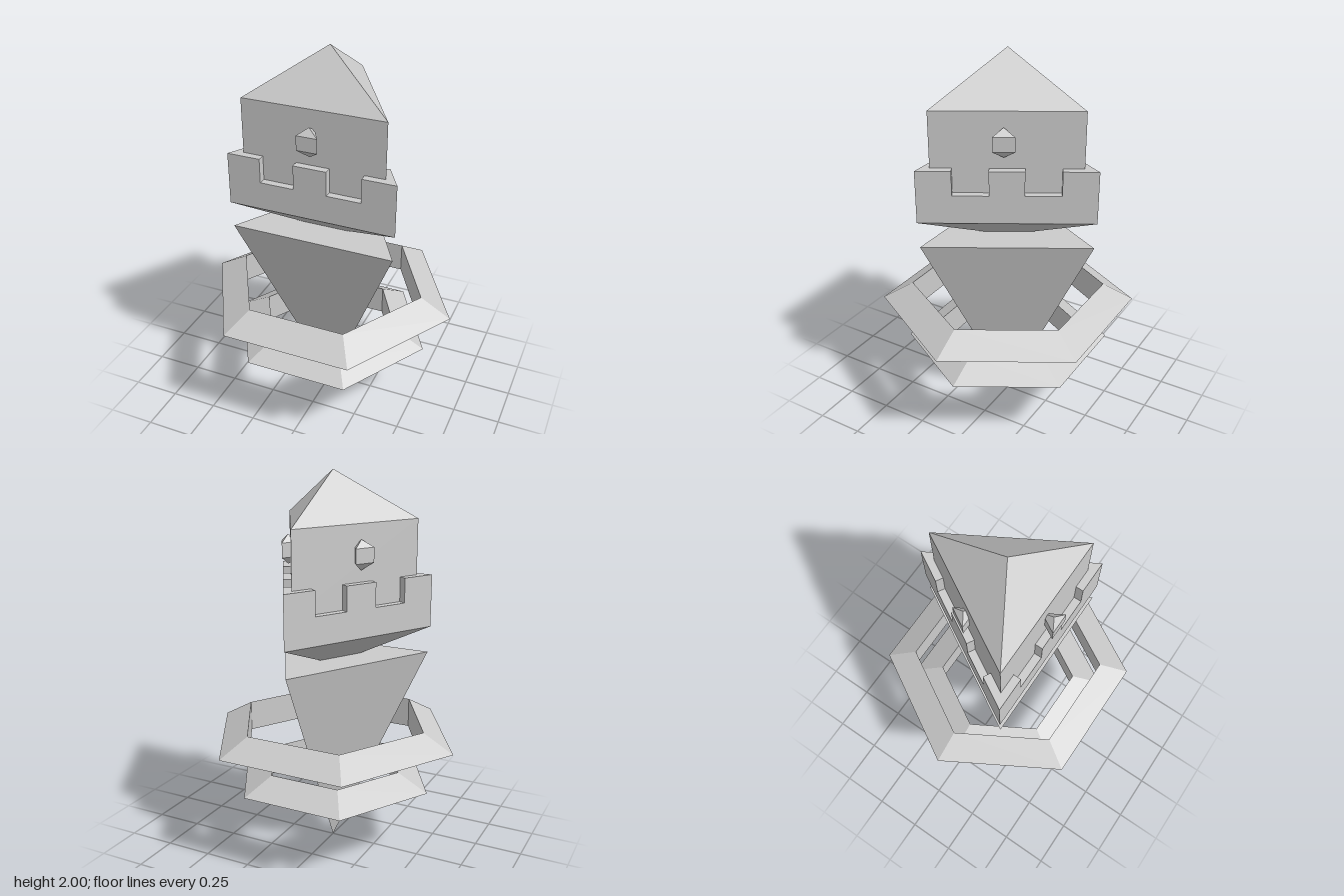
import * as THREE from 'three';

const material = new THREE.MeshStandardMaterial({ color: 0xcccccc, flatShading: true });

function add(parent, name, geometry, x = 0, y = 0, z = 0) {
  const mesh = new THREE.Mesh(geometry, material);
  mesh.name = name;
  mesh.position.set(x, y, z);
  parent.add(mesh);
  return mesh;
}

// Three-sided prism, frustum or cone between two heights, one corner pointing back
function triangular(rBottom, rTop, y0, y1) {
  const g = rBottom === 0
    ? new THREE.ConeGeometry(rTop, y1 - y0, 3).rotateX(Math.PI)
    : new THREE.CylinderGeometry(rTop, rBottom, y1 - y0, 3).rotateY(Math.PI);
  return g.translate(0, (y0 + y1) / 2, 0);
}

// Plan outline [x, z] extruded upwards
function planExtrude(points, y0, y1) {
  const shape = new THREE.Shape(points.map(([x, z]) => new THREE.Vector2(x, z)));
  return new THREE.ExtrudeGeometry(shape, { depth: y1 - y0, bevelEnabled: false })
    .rotateX(Math.PI / 2).translate(0, y1, 0);
}

// Hexagonal ring with a triangular section
function hexRing(inner, outer, yBottom, yEdge, yTop) {
  const section = [[inner, yBottom], [outer, yEdge], [inner, yTop], [inner, yBottom]];
  return new THREE.LatheGeometry(section.map(([r, y]) => new THREE.Vector2(r, y)), 6, Math.PI / 2);
}

export function createModel() {
  const model = new THREE.Group();
  model.name = 'floatingTower';

  // Lower spike and its two rings
  add(model, 'spike', triangular(0, 0.5, 0, 1.055));
  add(model, 'lowerRing', hexRing(0.383, 0.547, 0.29, 0.365, 0.452));
  add(model, 'upperRing', hexRing(0.517, 0.68, 0.536, 0.608, 0.7));

  // Tower body
  add(model, 'towerBase', triangular(0.145, 0.51, 1.055, 1.193));
  add(model, 'parapet', triangular(0.51, 0.51, 1.193, 1.34));
  add(model, 'keep', triangular(0.43, 0.43, 1.34, 1.755));
  add(model, 'roof', triangular(0.43, 0.0, 1.755, 2));

  // Merlons: one in the middle of each side and one wrapped round each corner
  const out = 0.255, inn = 0.215, c = 0.5, s = Math.sqrt(3) / 2;
  const mirror = ([x, z]) => [x * c + z * s, x * s - z * c];
  const a = [0.266, out], b = [0.266, inn];
  const corner = [a, [out / c * s, out], mirror(a), mirror(b), [inn / c * s, inn], b];
  const middle = [[-0.087, inn], [0.087, inn], [0.087, out], [-0.087, out]];
  for (let i = 0; i < 3; i++) {
    const angle = i * Math.PI * 2 / 3;
    add(model, 'cornerMerlon', planExtrude(corner, 1.34, 1.468)).rotation.y = angle;
    add(model, 'middleMerlon', planExtrude(middle, 1.34, 1.468)).rotation.y = angle;
  }

  // Small pointed windows, one on each side
  for (const [x, z] of [[0, 0.25], [0.204, -0.1], [-0.204, -0.1]]) {
    const win = new THREE.Group();
    win.name = 'window';
    win.position.set(x, 0, z);
    add(win, 'windowBody', triangular(0.063, 0.063, 1.567, 1.642));
    add(win, 'windowTop', triangular(0.063, 0, 1.642, 1.68));
    // Downward cone turned so its corner also points back
    add(win, 'windowBottom', triangular(0, 0.063, 1.529, 1.567));
    model.add(win);
  }
  return model;
}
